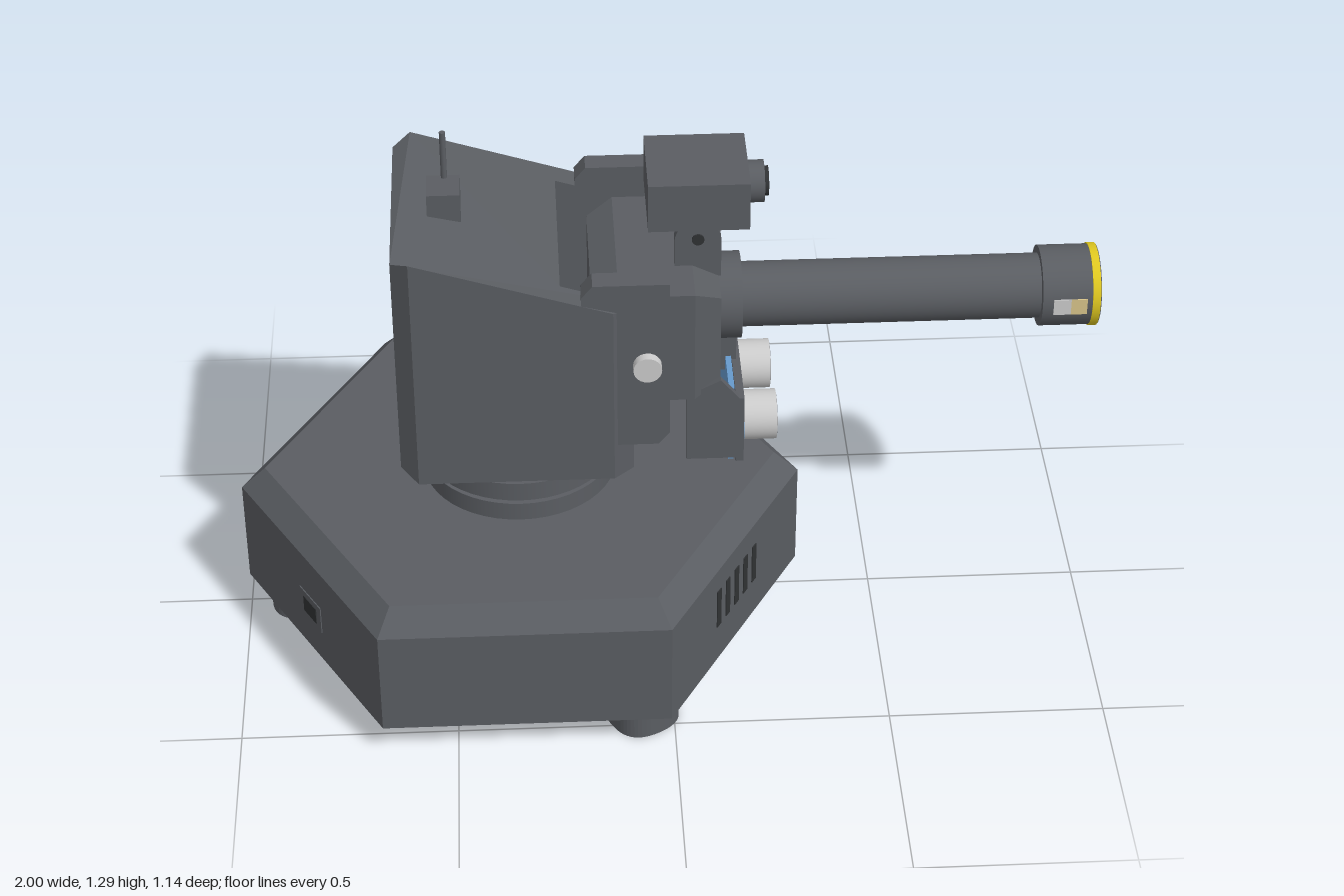
import * as THREE from 'three';

const mat = (color, flatShading = false) => new THREE.MeshStandardMaterial({ color, flatShading });
const DARK = mat(0x5a5d62, true), SMOOTH = mat(0x5a5d62), BLACK = mat(0x303234, true);
const LIGHT = mat(0xcccccc), BLUE = mat(0x6699cc, true), YELLOW = mat(0xe0c820);
const TAN = mat(0xd8c48a), GREEN = mat(0x6d8250, true);

export function createModel() {
  const model = new THREE.Group();

  function add(name, geometry, material = DARK, parent = model) {
    const mesh = new THREE.Mesh(geometry, material);
    mesh.name = name;
    parent.add(mesh);
    return mesh;
  }
  // Box given by its extents on each axis
  function box(name, [x0, x1], [y0, y1], [z0, z1], material, parent) {
    const g = new THREE.BoxGeometry(x1 - x0, y1 - y0, z1 - z0);
    g.translate((x0 + x1) / 2, (y0 + y1) / 2, (z0 + z1) / 2);
    return add(name, g, material, parent);
  }
  // Cylinder along one axis, from a to b; p and q are the other two coordinates in xyz order
  function rod(name, axis, a, b, p, q, r, material = SMOOTH, segments = 40) {
    const g = new THREE.CylinderGeometry(r, r, b - a, segments);
    const m = (a + b) / 2;
    if (axis === 'x') g.rotateZ(-Math.PI / 2).translate(m, p, q);
    else if (axis === 'y') g.translate(p, m, q);
    else g.rotateX(Math.PI / 2).translate(p, q, m);
    return add(name, g, material);
  }
  const shapeOf = (pts) => new THREE.Shape(pts.map(([x, y]) => new THREE.Vector2(x, y)));
  const extrude = (shape, depth) => new THREE.ExtrudeGeometry(shape, { depth, bevelEnabled: false });

  // Hexagonal base with a chamfered top and a recessed floor
  const base = new THREE.Group();
  base.name = 'base';
  base.position.x = -0.34;
  model.add(base);
  const hex = (pts) => new THREE.LatheGeometry(pts.map(([r, y]) => new THREE.Vector2(r, y)), 6, Math.PI / 2);
  add('baseShell', hex([[0.63, 0.1], [0.63, 0.08], [0.66, 0.08], [0.66, 0.345], [0.602, 0.4], [0, 0.4]]), DARK, base);
  add('baseFloor', hex([[0, 0.095], [0.635, 0.095]]), BLACK, base);

  // Three feet, rounded at the outer end
  const footShape = new THREE.Shape();
  footShape.moveTo(0.34, -0.08);
  footShape.lineTo(0.54, -0.08);
  footShape.quadraticCurveTo(0.61, -0.08, 0.61, 0);
  footShape.quadraticCurveTo(0.61, 0.08, 0.54, 0.08);
  footShape.lineTo(0.34, 0.08);
  for (const angle of [Math.PI, Math.PI / 3, -Math.PI / 3]) {
    const foot = new THREE.Group();
    foot.name = 'foot';
    foot.rotation.y = angle;
    base.add(foot);
    add('footPad', extrude(footShape, 0.07).rotateX(-Math.PI / 2), DARK, foot);
    add('footNeck', new THREE.CylinderGeometry(0.067, 0.067, 0.04, 24).translate(0.53, 0.08, 0), SMOOTH, foot);
  }

  // Details on the slanted base sides: local x points out of the side
  function basePanel(name, degrees) {
    const g = new THREE.Group();
    g.name = name;
    g.rotation.y = -degrees * Math.PI / 180;
    base.add(g);
    return g;
  }
  const skin = [0.56, 0.574];
  const vents = basePanel('vents', 30);
  for (let i = -2; i <= 2; i++) box('ventSlot', skin, [0.18, 0.285], [i * 0.046 - 0.01, i * 0.046 + 0.01], BLACK, vents);
  const sockets = basePanel('sockets', -30);
  for (let i = -1; i <= 1; i++) box('socket', skin, [0.236, 0.256], [i * 0.038 - 0.011, i * 0.038 + 0.011], BLACK, sockets);
  const port = basePanel('powerPort', 150);
  box('portFrame', skin, [0.165, 0.238], [-0.05, 0.05], DARK, port);
  box('portOpening', [0.56, 0.576], [0.18, 0.223], [-0.03, 0.03], BLACK, port);

  // Turntable rings with two grooves
  rod('turntableCore', 'y', 0.39, 0.57, -0.34, 0, 0.212, SMOOTH, 48);
  for (const [a, b] of [[0.4, 0.446], [0.456, 0.504], [0.514, 0.56]]) rod('turntableRing', 'y', a, b, -0.34, 0, 0.226, SMOOTH, 48);

  // Housing: a U-shaped plan with chamfered corners and a top sloping to the front
  const half = [[-0.61, 0.24], [-0.57, 0.275], [-0.125, 0.275], [-0.08, 0.235], [-0.08, 0.215], [-0.24, 0.215]];
  const plan = [...half, ...half.map(([x, z]) => [x, -z]).reverse()];
  const housing = extrude(shapeOf(plan), 1).rotateX(-Math.PI / 2);
  const p = housing.attributes.position;
  for (let i = 0; i < p.count; i++) {
    const x = p.getX(i), back = x < -0.6;
    if (p.getY(i) > 0.5) p.setY(i, back ? 1.13 : 1.15 - 0.32 * (x + 0.575));
    else p.setY(i, back ? 0.575 : 0.55);
  }
  housing.computeVertexNormals();
  add('housing', housing);
  box('housingFloor', [-0.25, -0.1], [0.551, 0.62], [-0.22, 0.22]);
  box('rearDisplay', [-0.613, -0.6], [0.73, 0.89], [-0.11, 0.15], GREEN);
  // Frame and inset of the side hatch
  box('hatchFrame', [-0.505, -0.29], [0.745, 0.955], [-0.278, -0.27], BLACK);
  box('hatch', [-0.497, -0.298], [0.753, 0.947], [-0.28, -0.27]);

  // Antenna
  box('antennaBase', [-0.53, -0.455], [1.08, 1.175], [-0.045, 0.04]);
  rod('antenna', 'y', 1.17, 1.293, -0.49, -0.037, 0.007, SMOOTH, 12);

  // Yoke plates on both sides, with pivots
  const yoke = shapeOf([[-0.195, 0.64], [-0.025, 0.64], [0, 0.67], [0, 1.075], [-0.17, 1.075], [-0.195, 1.045]]);
  for (const s of [1, -1]) {
    add('yokePlate', extrude(yoke, 0.053).translate(0, 0, s > 0 ? 0.215 : -0.268));
    const [a, b] = s > 0 ? [0.19, 0.29] : [-0.27, -0.19];
    rod('pivotPin', 'z', a, b, -0.05, 0.86, s > 0 ? 0.032 : 0.02, LIGHT, 24);
  }

  // Elevation motor
  box('motorFlange', [-0.095, -0.008], [0.74, 0.985], [-0.293, -0.266], BLUE);
  box('motorBody', [-0.095, -0.008], [0.775, 0.946], [-0.42, -0.266], BLUE);

  // Cradle: block with chamfered front and back
  const cradle = new THREE.ExtrudeGeometry(shapeOf([[-0.175, 0.745], [0.175, 0.745], [0.175, 0.97], [-0.175, 0.97]]),
    { depth: 0.17, bevelThickness: 0.06, bevelSize: 0.03, bevelSegments: 1 });
  add('cradle', cradle.rotateY(Math.PI / 2).translate(-0.11, 0, 0));

  // Barrel
  rod('barrelCollar', 'x', 0.1, 0.175, 0.86, 0, 0.1);
  rod('barrel', 'x', 0.17, 0.87, 0.86, 0, 0.075);
  rod('muzzle', 'x', 0.86, 0.994, 0.86, 0, 0.093);
  rod('muzzleRing', 'x', 0.974, 0.992, 0.86, 0, 0.0955, YELLOW);
  rod('bore', 'x', 0.98, 0.997, 0.86, 0, 0.026, TAN, 24);
  for (const s of [1, -1]) {
    const z = s > 0 ? [0.06, 0.0935] : [-0.0935, -0.06];
    box('muzzleSlot', [0.885, 0.925], [0.84, 0.88], z, LIGHT);
    box('muzzleSlotInsert', [0.925, 0.962], [0.84, 0.88], z, TAN);
  }

  // Camera on a hinge
  const lug = new THREE.Shape();
  lug.moveTo(0.02, 0.97);
  lug.lineTo(0.125, 0.97);
  lug.lineTo(0.125, 1.065);
  lug.absarc(0.0725, 1.065, 0.0525, 0, Math.PI, false);
  for (const s of [1, -1]) add('hingeLug', extrude(lug, 0.025).translate(0, 0, s > 0 ? 0.06 : -0.085));
  rod('hingePin', 'z', -0.089, 0.089, 0.0725, 1.07, 0.014, BLACK, 20);
  rod('hingeBarrel', 'z', -0.06, 0.06, 0.0725, 1.07, 0.035, SMOOTH, 24);
  box('cameraBody', [-0.04, 0.187], [1.107, 1.226], [-0.107, 0.107]);
  rod('lensHood', 'x', 0.18, 0.224, 1.166, 0, 0.048);
  rod('lens', 'x', 0.22, 0.234, 1.166, 0, 0.034, BLACK);

  // Range sensor hung below the cradle
  box('sensorNeck', [0.05, 0.165], [0.68, 0.77], [-0.045, 0.045]);
  box('sensorPlate', [0.155, 0.174], [0.53, 0.708], [-0.198, 0.198]);
  const gusset = shapeOf([[0.042, 0.54], [0.17, 0.54], [0.17, 0.7], [0.12, 0.76], [0.042, 0.72]]);
  for (const s of [1, -1]) {
    add('sensorGusset', extrude(gusset, 0.016).translate(0, 0, s > 0 ? 0.182 : -0.198));
    rod('sensorEye', 'x', 0.15, 0.254, 0.59, s * 0.1, 0.058, LIGHT);
    rod('sensorEyeRim', 'x', 0.16, 0.178, 0.59, s * 0.1, 0.064, BLUE);
    rod('sensorMesh', 'x', 0.25, 0.2555, 0.59, s * 0.1, 0.05, mat(0x8a8c90));
  }
  box('sensorBoard', [0.14, 0.153], [0.515, 0.718], [-0.17, 0.17], BLUE);
  return model;
}
